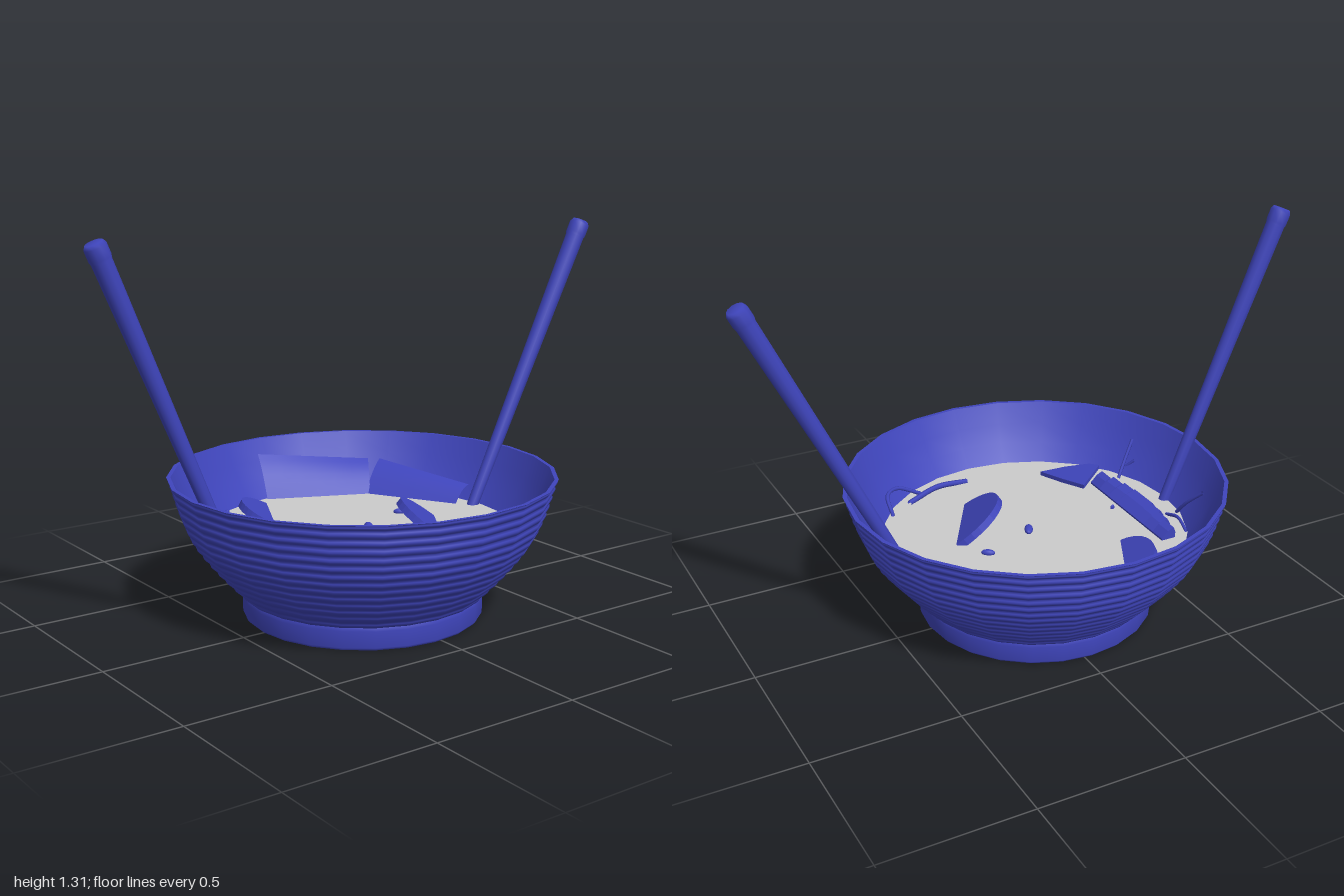
import * as THREE from 'three';

const CX = -0.025;      // bowl axis
const SOUP = 0.285;     // soup level
const V2 = (x, y) => new THREE.Vector2(x, y);
const V3 = (x, y, z) => new THREE.Vector3(x, y, z);

export function createModel() {
  const group = new THREE.Group();
  const blue = new THREE.MeshStandardMaterial({ color: 0x3f45bc, side: THREE.DoubleSide });
  const flatBlue = new THREE.MeshStandardMaterial({ color: 0x3f45bc, side: THREE.DoubleSide, flatShading: true });
  const grey = new THREE.MeshStandardMaterial({ color: 0xcccccc });

  const add = (name, geometry, material = blue, parent = group) => {
    const mesh = new THREE.Mesh(geometry, material);
    mesh.name = name;
    parent.add(mesh);
    return mesh;
  };

  // Bowl: foot, ridged wall and smooth lining, all turned on one axis
  const bowl = new THREE.Group();
  bowl.name = 'bowl';
  bowl.position.x = CX;
  group.add(bowl);
  const turn = (name, pts, mat = blue) => add(name, new THREE.LatheGeometry(pts, 24), mat, bowl);

  turn('footBase', [V2(0, 0), V2(0.397, 0)]);
  turn('foot', [V2(0.397, 0), V2(0.406, 0.01), V2(0.407, 0.065), V2(0.403, 0.076)]);

  const wall = new THREE.SplineCurve([V2(0.405, 0.073), V2(0.47, 0.14), V2(0.53, 0.21),
    V2(0.58, 0.28), V2(0.612, 0.35), V2(0.634, 0.42), V2(0.652, 0.48)]);
  const ridges = 14, steps = 5, profile = [];
  for (let i = 0; i <= ridges * steps; i++) {
    const p = wall.getPoint(i / (ridges * steps));
    const groove = 0.008 * (1 - Math.sin(Math.PI * (i % steps) / steps));
    profile.push(V2(p.x - (i === ridges * steps ? 0 : groove), p.y));
  }
  turn('ridgedWall', profile);
  turn('rim', [V2(0.652, 0.48), V2(0.638, 0.48)]);
  turn('lining', [V2(0.638, 0.48), V2(0.605, 0.41), V2(0.568, 0.345), V2(0.523, SOUP),
    V2(0.38, 0.11), V2(0, 0.09)]);

  // Soup surface
  const soup = add('soup', new THREE.CircleGeometry(0.525, 24), grey, bowl);
  soup.rotation.x = -Math.PI / 2;
  soup.position.y = SOUP;

  // Chopsticks: tapered, with a slightly wider capped end
  const chopstick = (name, tip, end) => {
    const axis = end.clone().sub(tip), L = axis.length();
    const stick = add(name, new THREE.LatheGeometry([V2(0, 0), V2(0.02, 0), V2(0.033, L - 0.06),
      V2(0.036, L - 0.05), V2(0.036, L - 0.012), V2(0.029, L), V2(0, L)], 10));
    stick.position.copy(tip);
    stick.quaternion.setFromUnitVectors(V3(0, 1, 0), axis.normalize());
  };
  chopstick('rightChopstick', V3(-0.525, 0.25, -0.017), V3(-0.968, 1.297, -0.017));
  chopstick('leftChopstick', V3(0.458, 0.25, -0.02), V3(0.965, 1.268, -0.02));

  // Half-round slices: straight edge from a to b in the soup, arc raised by lift
  const slice = (name, a, b, reach, lift) => {
    const half = a.distanceTo(b) / 2;
    const height = Math.hypot(reach, lift);
    const shape = new THREE.Shape();
    for (let i = 0; i <= 16; i++) {
      const t = Math.PI * i / 16;
      const p = [half * Math.cos(t), height * Math.sin(t)];
      i ? shape.lineTo(...p) : shape.moveTo(...p);
    }
    const mesh = add(name, new THREE.ExtrudeGeometry(shape, { depth: 0.025, bevelEnabled: false }));
    const along = b.clone().sub(a).normalize();
    const out = V3(-along.z, 0, along.x).multiplyScalar(reach).add(V3(0, lift, 0)).normalize();
    const normal = along.clone().cross(out);
    mesh.quaternion.setFromRotationMatrix(new THREE.Matrix4().makeBasis(along, out, normal));
    mesh.position.copy(a).add(b).multiplyScalar(0.5);
    if (normal.y > 0) mesh.position.addScaledVector(normal, -0.025);
  };
  slice('frontSlice', V3(0.115, SOUP + 0.003, 0.27), V3(0.265, SOUP + 0.003, 0.02), -0.13, 0.1);
  slice('backSlice', V3(-0.24, SOUP + 0.003, -0.21), V3(-0.12, SOUP + 0.003, -0.455), -0.1, 0.05);

  // Seaweed sheets leaning on the lining, slightly bowed
  const sheet = (name, lowA, lowB, highA, highB) => {
    const geo = new THREE.PlaneGeometry(1, 1, 6, 6);
    const pos = geo.attributes.position;
    for (let i = 0; i < pos.count; i++) {
      const u = pos.getX(i) + 0.5, v = pos.getY(i) + 0.5;
      const p = lowA.clone().lerp(lowB, u).lerp(highA.clone().lerp(highB, u), v);
      p.y += 0.015 * Math.sin(Math.PI * v);
      pos.setXYZ(i, p.x, p.y, p.z);
    }
    geo.computeVertexNormals();
    add(name, geo);
  };
  sheet('backSeaweed', V3(-0.085, 0.275, -0.5), V3(0.26, 0.275, -0.345),
    V3(-0.06, 0.43, -0.605), V3(0.325, 0.39, -0.45));
  sheet('sideSeaweed', V3(0.245, 0.275, -0.36), V3(0.42, 0.275, -0.055),
    V3(0.36, 0.39, -0.425), V3(0.505, 0.34, -0.08));

  // Shrimp: banded body rising away from the soup, and a tail fan
  const shrimp = new THREE.Group();
  shrimp.name = 'shrimp';
  group.add(shrimp);
  const bands = 8, z0 = -0.275, dz = 0.06;
  for (let i = 0; i < bands; i++) {
    const w = 0.045 + 0.045 * Math.sin(Math.PI * (i + 0.5) / bands);
    const shape = new THREE.Shape([V2(0, -0.01), V2(0, 0.006), V2(-w * 0.45, 0.03),
      V2(-w * 0.85, 0.04), V2(-w, 0.02), V2(-w * 0.95, -0.01)]);
    const band = add('shrimpBand', new THREE.ExtrudeGeometry(shape, { depth: dz, bevelEnabled: false }), flatBlue, shrimp);
    band.position.set(-0.365, SOUP, z0 + i * dz);
  }
  const tail = new THREE.Shape([V2(-0.395, -0.2), V2(-0.3, -0.145), V2(-0.265, -0.25),
    V2(-0.235, -0.35), V2(-0.31, -0.3), V2(-0.375, -0.24)]);
  const tailGeo = new THREE.ExtrudeGeometry(tail, { depth: 0.015, bevelEnabled: false });
  tailGeo.rotateX(-Math.PI / 2);
  const tp = tailGeo.attributes.position;
  for (let i = 0; i < tp.count; i++) {
    tp.setY(i, tp.getY(i) + SOUP + 0.3 * Math.max(0, -0.24 - tp.getX(i)) * 1.2);
  }
  tailGeo.computeVertexNormals();
  add('shrimpTail', tailGeo, flatBlue, shrimp);

  // Thin sprouts
  const sprouts = [
    [0.01, V3(0.03, 0.287, 0.43), V3(0.15, 0.298, 0.42), V3(0.285, 0.29, 0.365)],
    [0.007, V3(0.22, 0.29, 0.415), V3(0.31, 0.335, 0.41), V3(0.37, 0.34, 0.36), V3(0.38, 0.3, 0.29)],
    [0.006, V3(-0.52, 0.285, -0.125), V3(-0.53, 0.34, -0.17), V3(-0.555, 0.4, -0.23)],
    [0.006, V3(-0.482, 0.285, -0.12), V3(-0.483, 0.305, -0.19), V3(-0.465, 0.295, -0.27)],
    [0.006, V3(-0.475, 0.285, 0.195), V3(-0.52, 0.34, 0.225), V3(-0.565, 0.4, 0.25)],
    [0.006, V3(-0.545, 0.34, 0.2), V3(-0.52, 0.31, 0.225), V3(-0.49, 0.285, 0.26)],
  ];
  for (const [r, ...pts] of sprouts) {
    add('sprout', new THREE.TubeGeometry(new THREE.CatmullRomCurve3(pts), 16, r, 6));
  }

  // Small floating garnish: x, z, half length, turn
  for (const [x, z, r, a] of [[0, 0, 0.03, 1.1], [0.195, -0.08, 0.024, -0.6],
    [-0.3, -0.425, 0.014, 0.8], [-0.335, 0.002, 0.008, 0]]) {
    const bit = add('garnish', new THREE.SphereGeometry(1, 12, 8));
    bit.scale.set(r, 0.012, r * 0.5);
    bit.position.set(x, SOUP + 0.004, z);
    bit.rotation.y = a;
  }
  return group;
}
